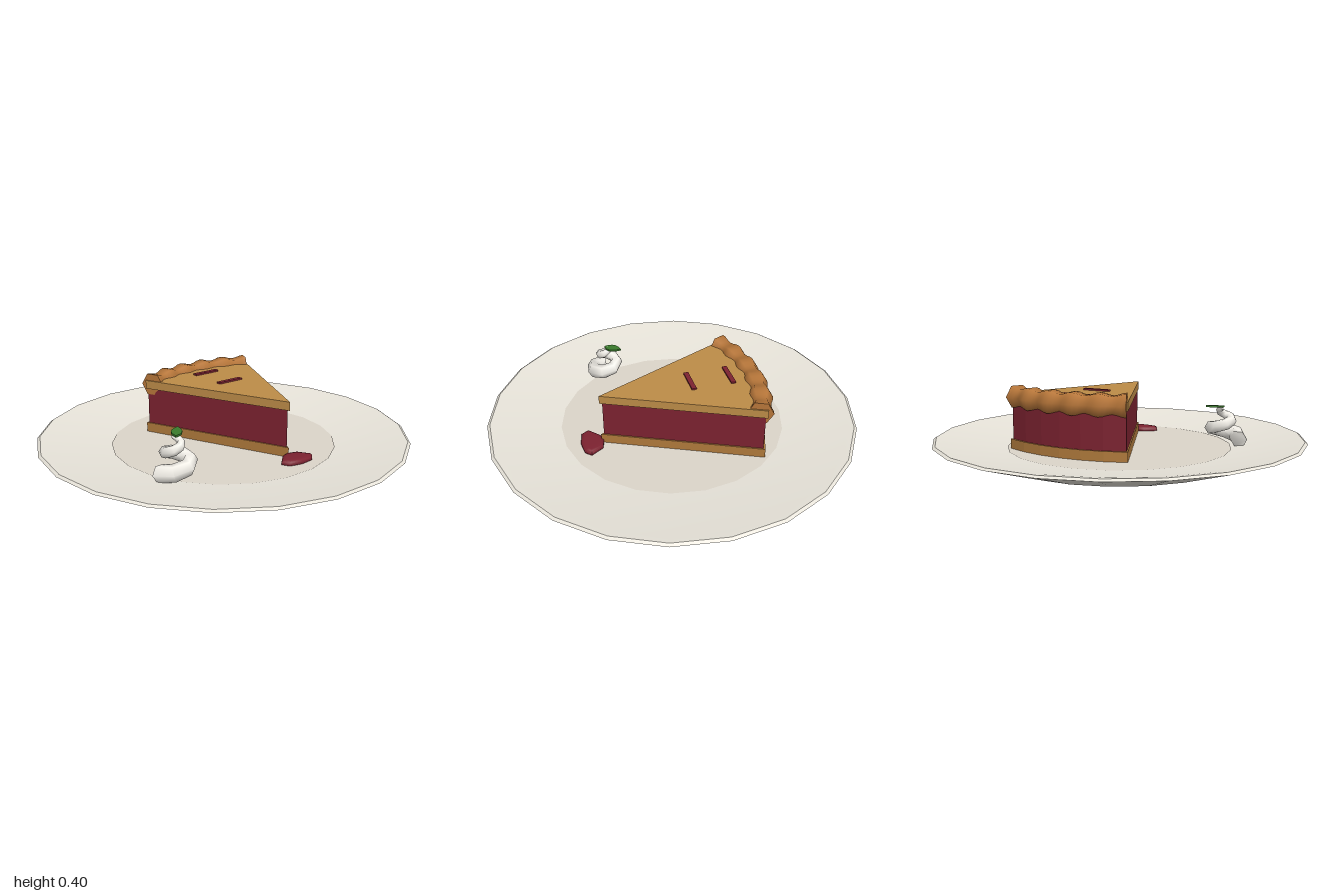
import * as THREE from 'three';
import { toCreasedNormals } from 'three/addons/utils/BufferGeometryUtils.js';

const TIP = { x: 0.1, z: 0.4 };
const HALF = 0.42; // half angle of the slice

function add(group, name, geometry, color, double = false) {
  const material = new THREE.MeshStandardMaterial({ color });
  if (double) material.side = THREE.DoubleSide;
  const mesh = new THREE.Mesh(geometry, material);
  mesh.name = name;
  group.add(mesh);
  return mesh;
}

// Point on the slice plan: distance r from the tip, angle a from straight back
const polar = (r, a, y = 0) =>
  new THREE.Vector3(TIP.x + r * Math.sin(a), y, TIP.z - r * Math.cos(a));

// Flat outline given as (x, -z), raised from y0 to y1
function slab(shape, y0, y1) {
  return new THREE.ExtrudeGeometry(shape, { depth: y1 - y0, bevelEnabled: false })
    .rotateX(-Math.PI / 2).translate(0, y0, 0);
}

// Pie wedge with a curved back, grown outward by o
function wedge(o, y0, y1) {
  const pts = [new THREE.Vector2(TIP.x, -TIP.z - o * 2)];
  for (let i = 0; i <= 6; i++) {
    const p = polar(0.838 + o, HALF * (1 - i / 3), 0);
    pts.push(new THREE.Vector2(p.x + o * (1 - i / 3), -p.z));
  }
  return slab(new THREE.Shape(pts), y0, y1);
}

// Capped tube with its own radius at every step
function sweep(pathAt, radiusAt, steps, sides) {
  const pos = [], idx = [], up = new THREE.Vector3(0, 1, 0);
  const ring = (i, j) => i * sides + (j % sides);
  for (let i = 0; i <= steps; i++) {
    const t = i / steps, c = pathAt(t);
    const tan = pathAt(t + 0.01).sub(pathAt(t - 0.01)).normalize();
    const side = tan.clone().cross(up).normalize();
    const top = side.clone().cross(tan);
    for (let j = 0; j < sides; j++) {
      const a = (j / sides) * Math.PI * 2, r = radiusAt(t);
      const p = c.clone().addScaledVector(side, r * Math.cos(a)).addScaledVector(top, r * Math.sin(a));
      pos.push(p.x, p.y, p.z);
      if (i < steps) {
        idx.push(ring(i, j), ring(i + 1, j), ring(i + 1, j + 1));
        idx.push(ring(i, j), ring(i + 1, j + 1), ring(i, j + 1));
      }
    }
  }
  for (let j = 1; j < sides - 1; j++) {
    idx.push(0, j, j + 1);
    idx.push(ring(steps, 0), ring(steps, j + 1), ring(steps, j));
  }
  const g = new THREE.BufferGeometry();
  g.setAttribute('position', new THREE.Float32BufferAttribute(pos, 3));
  g.setIndex(idx);
  return toCreasedNormals(g, 1.25);
}

export function createModel() {
  const model = new THREE.Group();
  model.name = 'pieOnPlate';

  // Plate: 22-sided dish with a flat well
  const profile = [[0, 0], [0.65, 0], [1, 0.112], [0.985, 0.122], [0.95, 0.118], [0.61, 0.064], [0, 0.064]]
    .map(([x, y]) => new THREE.Vector2(x, y));
  const plate = new THREE.LatheGeometry(profile, 22).rotateY(Math.PI / 2);
  add(model, 'plate', toCreasedNormals(plate, 0.5), 0xe8e4da);
  add(model, 'plateWell',
    new THREE.CircleGeometry(0.607, 22).rotateX(-Math.PI / 2).translate(0, 0.067, 0), 0xdcd5ca);

  // Slice: bottom crust, filling, top crust
  const slice = new THREE.Group();
  slice.name = 'slice';
  model.add(slice);
  add(slice, 'bottomCrust', wedge(0.008, 0.068, 0.12), 0xb07a3c);
  add(slice, 'filling', wedge(0, 0.12, 0.32), 0x7c2230);
  add(slice, 'topCrust', wedge(0.008, 0.32, 0.366), 0xbd8c48);

  // Crimped roll along the back edge
  add(slice, 'crimpedEdge', sweep(
    (t) => polar(0.81, HALF * (2 * t - 1), 0.345),
    (t) => 0.059 + 0.008 * Math.cos(t * Math.PI * 10), 30, 6), 0xb8773a);

  // Steam vents
  for (const z of [-0.285, -0.07]) {
    add(slice, 'steamVent', new THREE.BoxGeometry(0.155, 0.02, 0.026).translate(0.1, 0.365, z), 0x7c2230);
  }

  // Drip of filling in front of the tip
  const drip = new THREE.Shape([[0.1, -0.41], [0.065, -0.42], [0.012, -0.47], [0.03, -0.502],
    [0.095, -0.517], [0.165, -0.51], [0.188, -0.485], [0.15, -0.425]].map(([x, y]) => new THREE.Vector2(x, y)));
  const dripGeo = new THREE.ExtrudeGeometry(drip, {
    depth: 0.012, bevelThickness: 0.01, bevelSize: 0.02, bevelOffset: -0.012, bevelSegments: 2,
  }).rotateX(-Math.PI / 2).translate(0, 0.07, 0);
  add(model, 'fillingDrip', toCreasedNormals(dripGeo, 0.9), 0x7c2230);

  // Whipped cream: tapering spiral rising from the left of the plate
  const cream = new THREE.Group();
  cream.name = 'creamSwirl';
  cream.position.set(-0.5, 0, 0.26);
  model.add(cream);
  const turns = 1.7;
  add(cream, 'cream', sweep((t) => {
    const k = t * turns, a = k * Math.PI * 2, r = 0.088 - 0.042 * k;
    return new THREE.Vector3(-r * Math.cos(a), 0.108 + 0.098 * k, r * Math.sin(a));
  }, (t) => 0.048 - 0.019 * t * turns, 12, 6), 0xf2efe8);

  // Mint leaf on top
  const leaf = new THREE.Shape();
  leaf.moveTo(0, -0.055);
  leaf.quadraticCurveTo(0.055, -0.01, 0, 0.055);
  leaf.quadraticCurveTo(-0.055, -0.01, 0, -0.055);
  const leafMesh = add(cream, 'mintLeaf', new THREE.ExtrudeGeometry(leaf, {
    depth: 0.01, bevelEnabled: false, curveSegments: 5,
  }).rotateX(-Math.PI / 2), 0x3a7a2c);
  leafMesh.position.set(0.035, 0.277, -0.035);
  leafMesh.rotation.set(0.1, -0.7, 0);

  return model;
}
